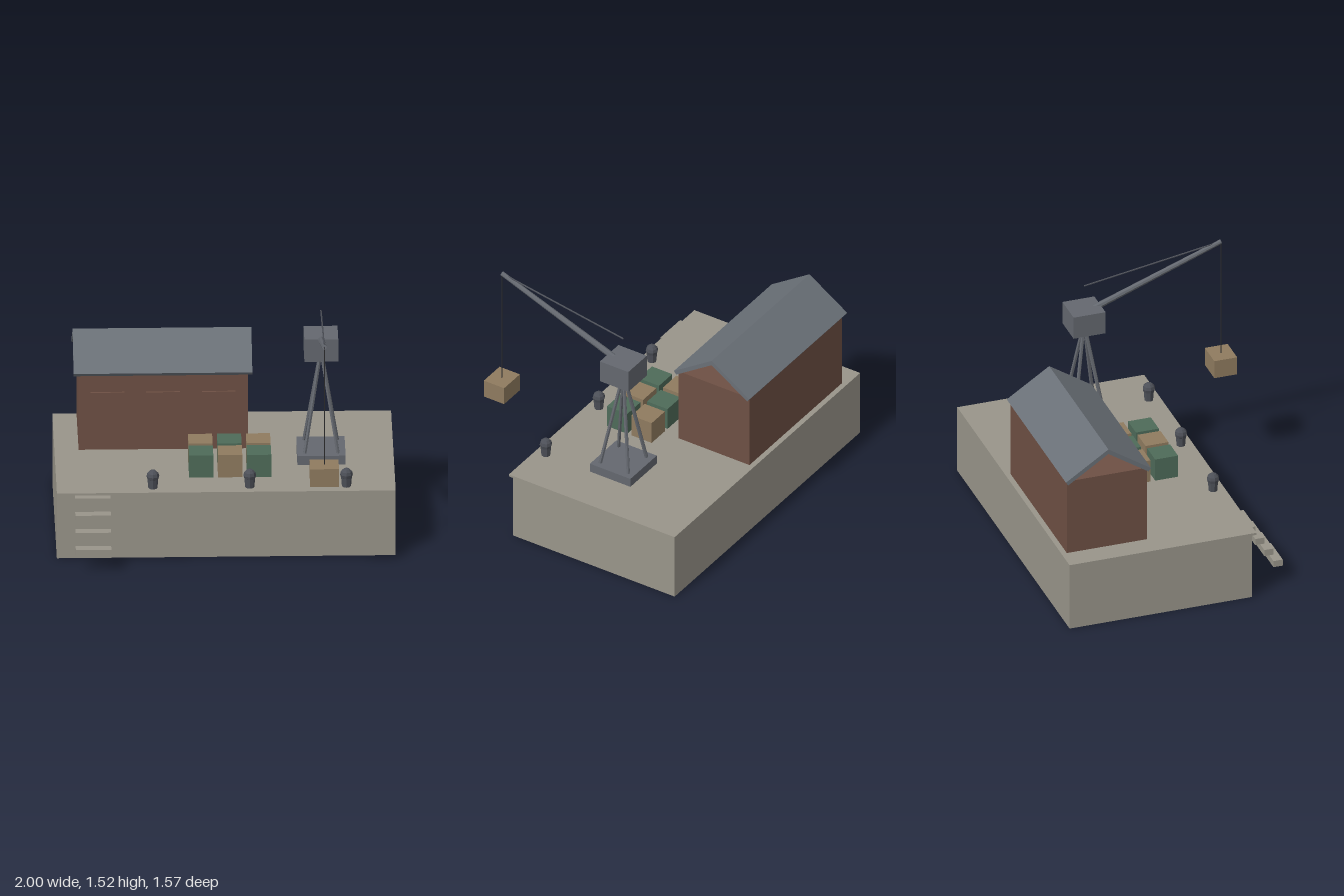
import * as THREE from 'three';

export function createModel() {
  const root = new THREE.Group();
  root.name = 'harbourQuay';

  const mat = (name, color) => {
    const m = new THREE.MeshStandardMaterial({ color, flatShading: true });
    m.name = name;
    return m;
  };
  const stone = mat('stone', 0x99958a);
  const brick = mat('brick', 0x6e5044);
  const slate = mat('slate', 0x6a7077);
  const steel = mat('steel', 0x64686f);
  const iron = mat('iron', 0x4d5058);
  const cableDark = mat('cableDark', 0x2c2c2e);
  const wood = mat('wood', 0x8f7b5f);
  const green = mat('greenPaint', 0x4e6b59);

  const group = (name) => {
    const g = new THREE.Group();
    g.name = name;
    root.add(g);
    return g;
  };
  const add = (parent, name, geo, material, x = 0, y = 0, z = 0) => {
    const m = new THREE.Mesh(geo, material);
    m.name = name;
    m.position.set(x, y, z);
    parent.add(m);
    return m;
  };
  const box = (parent, name, material, w, h, d, x, y, z) =>
    add(parent, name, new THREE.BoxGeometry(w, h, d), material, x, y, z);
  // Tapered bar between two points
  const bar = (parent, name, material, a, b, r0, r1, sides) => {
    const from = new THREE.Vector3(...a), to = new THREE.Vector3(...b);
    const dir = to.clone().sub(from);
    const m = add(parent, name, new THREE.CylinderGeometry(r1, r0, dir.length(), sides), material);
    m.position.copy(from).add(to).multiplyScalar(0.5);
    m.quaternion.setFromUnitVectors(new THREE.Vector3(0, 1, 0), dir.normalize());
    return m;
  };

  const deck = 0.43;

  // Quay block, coping lip and steps down to the water
  const quay = group('quay');
  box(quay, 'quayBlock', stone, 2, deck, 1.14, 0, deck / 2, -0.215);
  box(quay, 'coping', stone, 2, 0.014, 0.029, 0, deck - 0.007, 0.3695);
  for (let i = 0; i < 4; i++) {
    box(quay, 'step', stone, 0.21, 0.041, 0.058, -0.788, 0.389 - i * 0.0855, 0.386 + i * 0.057);
  }

  // Warehouse with open gables
  const house = group('warehouse');
  box(house, 'walls', brick, 1, 0.485, 0.5, -0.357, deck + 0.2425, -0.502);
  for (const x of [-0.686, -0.36, -0.03]) {
    box(house, 'door', brick, 0.2, 0.312, 0.02, x, 0.646, -0.249);
  }
  const chevron = new THREE.Shape([
    [0, 1.102], [-0.266, 0.926], [-0.251, 0.905], [0, 1.071], [0.251, 0.905], [0.266, 0.926],
  ].map(([z, y]) => new THREE.Vector2(z, y)));
  const roofGeo = new THREE.ExtrudeGeometry(chevron, { depth: 1.055, bevelEnabled: false });
  roofGeo.translate(0, 0, -0.5275).rotateY(-Math.PI / 2);
  add(house, 'roof', roofGeo, slate, -0.359, 0, -0.502);

  // Crane
  const crane = group('crane');
  const cx = 0.571, cz = -0.143, tipZ = 0.714, tipY = 1.503;
  box(crane, 'craneBase', steel, 0.285, 0.057, 0.285, cx, deck + 0.0285, cz);
  for (const sx of [-1, 1]) {
    for (const sz of [-1, 1]) {
      bar(crane, 'craneLeg', steel, [cx + sx * 0.1, 0.475, cz + sz * 0.1],
        [cx + sx * 0.003, 1.09, cz + sz * 0.003], 0.0115, 0.0115, 6);
    }
  }
  box(crane, 'cabin', steel, 0.2, 0.143, 0.2, cx, 1.1475, cz);
  bar(crane, 'boom', steel, [cx, 1.178, cz], [cx, tipY, tipZ], 0.02, 0.014, 8);
  bar(crane, 'stay', iron, [cx, 1.362, cz], [cx, tipY, tipZ], 0.005, 0.005, 6);
  bar(crane, 'hoistCable', cableDark, [cx, 0.745, tipZ], [cx, tipY, tipZ], 0.004, 0.004, 6);
  box(crane, 'hangingCrate', wood, 0.17, 0.115, 0.143, cx, 0.691, tipZ);

  // Stacked cargo in alternating colours
  const cargo = group('cargo');
  for (let row = 0; row < 2; row++) {
    for (let col = 0; col < 3; col++) {
      box(cargo, 'crate', (row + col) % 2 ? green : wood, 0.143, 0.143, 0.143,
        -0.143 + col * 0.171, deck + 0.0715, -0.074 + row * 0.172);
    }
  }

  // Mooring bollards
  for (const x of [-0.432, 0.14, 0.711]) {
    const bollard = group('bollard');
    add(bollard, 'post', new THREE.CylinderGeometry(0.034, 0.027, 0.08, 8), iron, x, deck + 0.04, 0.312);
    add(bollard, 'cap', new THREE.SphereGeometry(0.038, 8, 6), iron, x, 0.507, 0.312);
  }

  return root;
}
